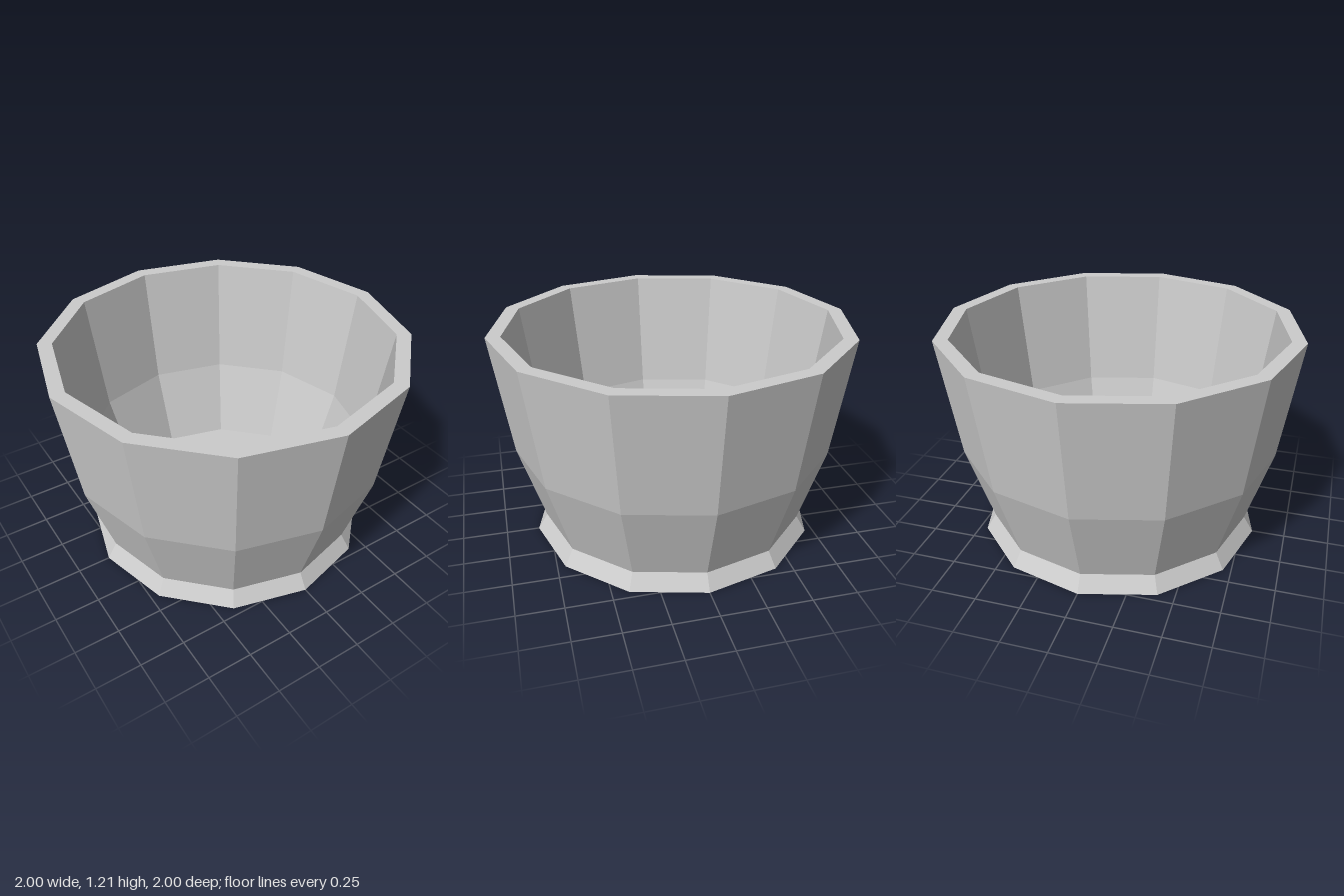
import * as THREE from 'three';

const SIDES = 12;

// Faceted solid of revolution from [radius, height] pairs
function turned(name, profile, material) {
  const points = profile.map(([r, y]) => new THREE.Vector2(r, y));
  const mesh = new THREE.Mesh(new THREE.LatheGeometry(points, SIDES), material);
  mesh.name = name;
  return mesh;
}

export function createModel() {
  const group = new THREE.Group();
  group.name = 'plantPot';
  const material = new THREE.MeshStandardMaterial({ color: 0xcccccc, flatShading: true });

  // Hollow bowl: outer wall, flat rim, inner wall, floor
  group.add(turned('bowl', [
    [0.76, 0.09], [0.9, 0.535], [1, 1.21],
    [0.92, 1.21], [0.82, 0.535], [0.68, 0.09], [0, 0.09],
  ], material));

  // Flared foot with closed underside
  group.add(turned('foot', [[0, 0], [0.815, 0], [0.76, 0.09]], material));

  return group;
}
